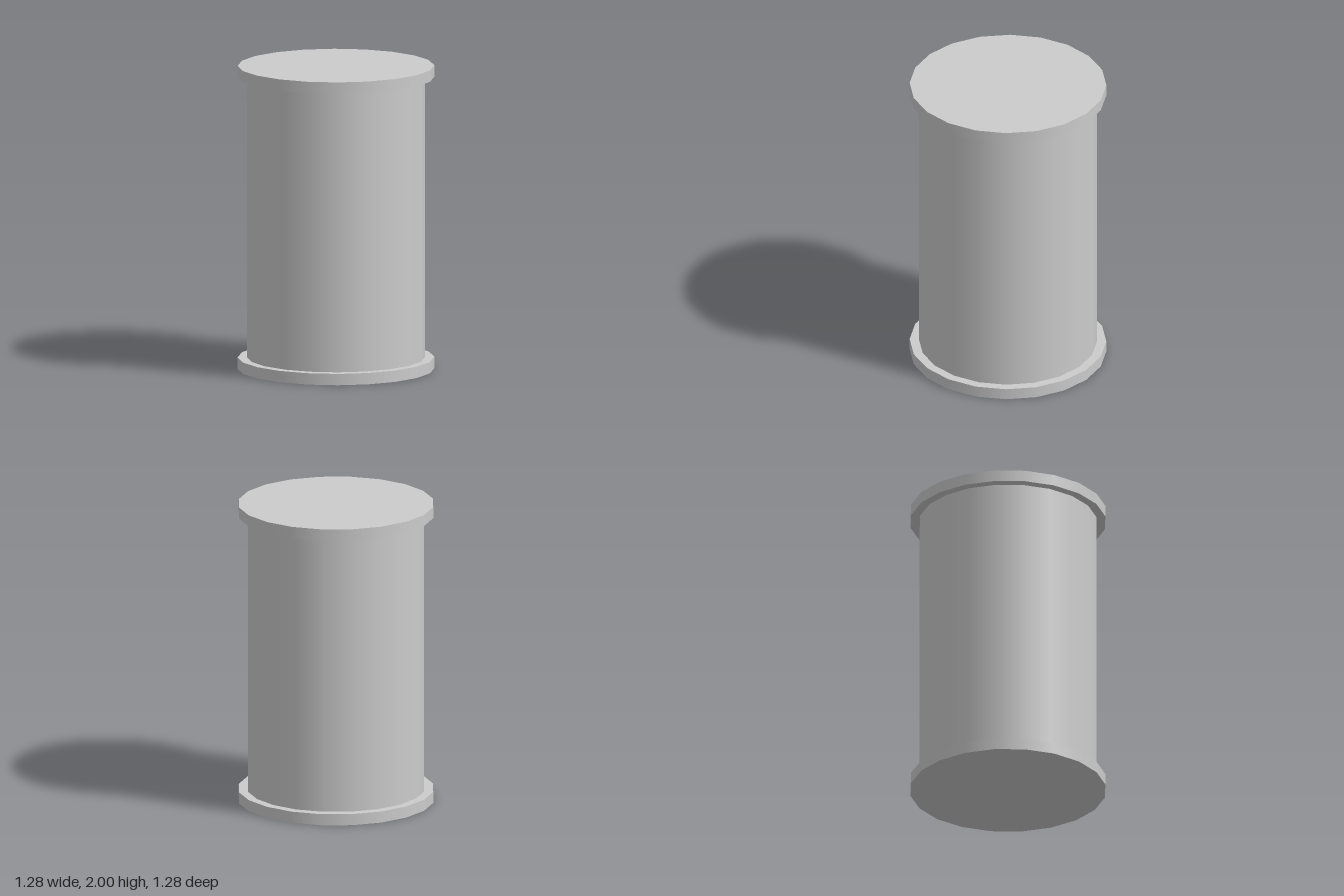
import * as THREE from 'three';

const SIDES = 20;
const HEIGHT = 2;
const RIM = 0.075;

export function createModel() {
  const group = new THREE.Group();
  const material = new THREE.MeshStandardMaterial({ color: 0xcccccc });

  // Upright cylinder placed by the height of its base
  function addCylinder(name, radius, height, baseY) {
    const geometry = new THREE.CylinderGeometry(radius, radius, height, SIDES);
    const mesh = new THREE.Mesh(geometry, material);
    mesh.name = name;
    mesh.position.y = baseY + height / 2;
    group.add(mesh);
  }

  // Flat end discs with the narrower drum between them
  addCylinder('bottomDisc', 0.64, RIM, 0);
  addCylinder('drum', 0.58, HEIGHT - 2 * RIM, RIM);
  addCylinder('topDisc', 0.64, RIM, HEIGHT - RIM);

  return group;
}
